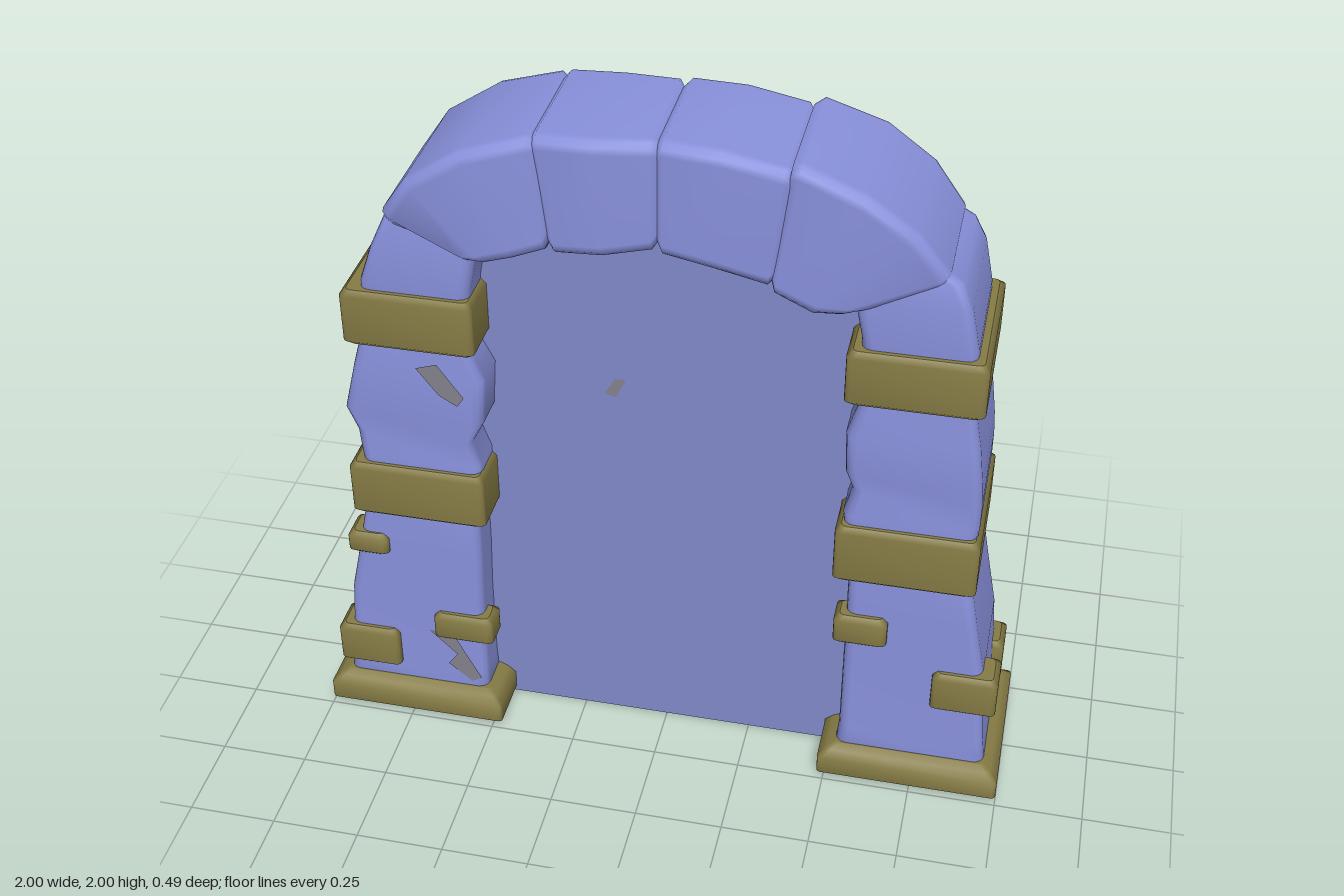
import * as THREE from 'three';

const stone = new THREE.MeshStandardMaterial({ name: 'blue stone', color: 0x8991dc });
const infill = new THREE.MeshStandardMaterial({ name: 'dusky blue infill', color: 0x8189c8 });
const trim = new THREE.MeshStandardMaterial({ name: 'olive trim', color: 0x857b45 });
const stain = new THREE.MeshStandardMaterial({ name: 'grey stain', color: 0x83808a, side: THREE.DoubleSide });

// Rounded block lofted through sections [ax, ay, bx, by, zBack, zFront].
function loft(sections, radius, bevel) {
  const lerp = (s, t, k) => s.map((v, i) => v + (t[i] - v) * k);
  const inset = (s) => {
    const w = bevel / Math.hypot(s[2] - s[0], s[3] - s[1]);
    const dx = (s[2] - s[0]) * w, dy = (s[3] - s[1]) * w;
    return [s[0] + dx, s[1] + dy, s[2] - dx, s[3] - dy, s[4] + bevel, s[5] - bevel];
  };
  const step = (s, t) => {
    const d = Math.hypot(s[0] + s[2] - t[0] - t[2], s[1] + s[3] - t[1] - t[3]) / 2;
    return lerp(s, t, Math.min(0.45, bevel / d));
  };
  const n = sections.length, first = sections[0], last = sections[n - 1];
  const all = [inset(first), step(first, sections[1]), ...sections.slice(1, -1),
    step(last, sections[n - 2]), inset(last)];

  const pos = [], idx = [], around = 16;
  const ring = (s) => {
    const [ax, ay, bx, by, z0, z1] = s, len = Math.hypot(bx - ax, by - ay);
    for (let c = 0; c < 4; c++) for (let k = 0; k < 4; k++) {
      const a = (c + k / 3) * Math.PI / 2;
      const right = c === 0 || c === 3, front = c < 2;
      const u = ((right ? len - radius : radius) + Math.cos(a) * radius) / len;
      const z = (front ? z1 - radius : z0 + radius) + Math.sin(a) * radius;
      pos.push(ax + (bx - ax) * u, ay + (by - ay) * u, z);
    }
  };
  all.forEach(ring);
  for (let r = 0; r < all.length - 1; r++) for (let i = 0; i < around; i++) {
    const a = r * around + i, b = r * around + (i + 1) % around;
    idx.push(a, a + around, b + around, a, b + around, b);
  }
  // End caps
  [all[0], all[all.length - 1]].forEach((s, end) => {
    const o = pos.length / 3;
    ring(s);
    pos.push((s[0] + s[2]) / 2, (s[1] + s[3]) / 2, (s[4] + s[5]) / 2);
    for (let i = 0; i < around; i++) {
      const j = (i + 1) % around;
      idx.push(o + around, o + (end ? j : i), o + (end ? i : j));
    }
  });
  const g = new THREE.BufferGeometry();
  g.setAttribute('position', new THREE.Float32BufferAttribute(pos, 3));
  g.setIndex(idx);
  g.computeVertexNormals();
  return g;
}

export function createModel() {
  const model = new THREE.Group();
  model.name = 'stoneArch';
  const add = (name, geometry, material) => {
    const m = new THREE.Mesh(geometry, material);
    m.name = name;
    model.add(m);
  };
  // Upright stone from rows [y, xLow, xHigh, zBack, zFront]
  const upright = (name, rows) => add(name,
    loft(rows.map(([y, a, b, z0, z1]) => [a, y, b, y, z0, z1]), 0.03, 0.02), stone);
  const block = (name, x0, x1, y0, y1, z0, z1, bevel = 0.015) => add(name,
    loft([[x0, y0, x1, y0, z0, z1], [x0, y1, x1, y1, z0, z1]], bevel, bevel), trim);

  // Pillars, three stones each
  upright('rightLowerStone', [[0.06, -0.96, -0.52, -0.2, 0.2], [0.16, -0.945, -0.525, -0.19, 0.19],
    [0.42, -0.925, -0.525, -0.19, 0.19], [0.6, -0.885, -0.52, -0.19, 0.19], [0.82, -0.84, -0.52, -0.19, 0.19]]);
  upright('rightMiddleStone', [[0.82, -0.83, -0.5, -0.19, 0.2], [0.93, -0.845, -0.5, -0.19, 0.2],
    [1.0, -0.855, -0.525, -0.185, 0.19], [1.08, -0.88, -0.485, -0.2, 0.2],
    [1.22, -0.845, -0.475, -0.2, 0.2], [1.3, -0.825, -0.515, -0.185, 0.19], [1.4, -0.81, -0.52, -0.18, 0.19]]);
  upright('rightUpperStone', [[1.36, -0.81, -0.51, -0.19, 0.19], [1.5, -0.8, -0.5, -0.2, 0.2],
    [1.6, -0.765, -0.48, -0.2, 0.2], [1.7, -0.72, -0.46, -0.18, 0.19], [1.76, -0.66, -0.44, -0.16, 0.17]]);
  upright('leftLowerStone', [[0.06, 0.52, 0.96, -0.2, 0.2], [0.16, 0.53, 0.945, -0.19, 0.19],
    [0.42, 0.53, 0.925, -0.19, 0.19], [0.6, 0.53, 0.89, -0.19, 0.19], [0.82, 0.53, 0.85, -0.19, 0.19]]);
  upright('leftMiddleStone', [[0.82, 0.52, 0.86, -0.19, 0.2], [0.94, 0.505, 0.87, -0.2, 0.2],
    [1.02, 0.525, 0.87, -0.185, 0.19], [1.08, 0.505, 0.865, -0.2, 0.2],
    [1.2, 0.5, 0.85, -0.19, 0.2], [1.3, 0.53, 0.83, -0.18, 0.19], [1.4, 0.53, 0.82, -0.18, 0.19]]);
  upright('leftUpperStone', [[1.36, 0.53, 0.83, -0.19, 0.19], [1.5, 0.525, 0.82, -0.2, 0.2],
    [1.62, 0.5, 0.795, -0.2, 0.2], [1.69, 0.5, 0.765, -0.18, 0.19], [1.76, 0.46, 0.66, -0.16, 0.17]]);

  // Arch stones, outer edge first, running from -x to +x
  const arch = [
    [[-0.74, 1.69, -0.49, 1.6, -0.19, 0.2], [-0.645, 1.83, -0.45, 1.605, -0.21, 0.22],
      [-0.5, 1.925, -0.37, 1.63, -0.21, 0.22], [-0.305, 1.985, -0.275, 1.665, -0.2, 0.21]],
    [[-0.325, 1.985, -0.28, 1.65, -0.195, 0.205], [-0.16, 1.99, -0.14, 1.66, -0.2, 0.21],
      [0.005, 1.995, 0.005, 1.69, -0.185, 0.195]],
    [[-0.005, 2.0, -0.005, 1.68, -0.19, 0.195], [0.16, 1.99, 0.14, 1.655, -0.2, 0.2],
      [0.34, 1.955, 0.3, 1.62, -0.2, 0.2]],
    [[0.335, 1.985, 0.285, 1.61, -0.2, 0.2], [0.52, 1.92, 0.4, 1.57, -0.21, 0.22],
      [0.65, 1.825, 0.47, 1.57, -0.21, 0.21], [0.755, 1.69, 0.52, 1.59, -0.19, 0.2]],
  ];
  arch.forEach((s, i) => add('archStone' + (i + 1), loft(s, 0.035, 0.02), stone));

  // Solid infill of the doorway
  const outline = new THREE.Shape([[-0.63, 0], [0.55, 0], [0.57, 1.6], [0.4, 1.68], [0, 1.78],
    [-0.4, 1.72], [-0.57, 1.6], [-0.63, 0.8]].map(([x, y]) => new THREE.Vector2(x, y)));
  const panel = new THREE.ExtrudeGeometry(outline, { depth: 0.18, bevelEnabled: false });
  add('doorwayInfill', panel.translate(0, 0, -0.1), infill);

  // Plinths and bands
  const plinth = (name, x0, x1) => add(name, loft([[0.01, 0], [0.075, 0], [0.105, 0.035]].map(
    ([y, d]) => [x0 + d, y, x1 - d, y, -0.245 + d, 0.245 - d]), 0.012, 0.01), trim);
  plinth('rightPlinth', -1, -0.47);
  plinth('leftPlinth', 0.48, 1);
  block('rightLowerBand', -0.875, -0.487, 0.735, 0.91, -0.222, 0.225);
  block('rightUpperBand', -0.85, -0.487, 1.31, 1.48, -0.222, 0.225);
  block('leftLowerBand', 0.49, 0.88, 0.73, 0.915, -0.222, 0.225);
  block('leftUpperBand', 0.493, 0.855, 1.315, 1.48, -0.222, 0.225);

  // Small bricks set into the pillars: x range, y range, z range
  [[-0.91, -0.79, 0.57, 0.645, 0.1, 0.21], [-0.97, -0.785, 0.145, 0.285, 0.09, 0.215],
    [-0.67, -0.492, 0.285, 0.38, 0.12, 0.215], [0.5, 0.65, 0.495, 0.595, 0.12, 0.215],
    [0.785, 0.97, 0.295, 0.43, 0.09, 0.215], [0.785, 0.97, 0.16, 0.3, -0.22, -0.1],
    [0.5, 0.67, 0.32, 0.41, -0.225, -0.12], [-0.66, -0.5, 0.5, 0.6, -0.215, -0.12],
    [-0.67, -0.5, 0.29, 0.385, -0.22, -0.12], [-0.94, -0.775, 0.3, 0.44, -0.22, -0.09],
  ].forEach((b, i) => block('brick' + (i + 1), ...b));

  // Flat stains
  const patch = (name, z, pts) => add(name, new THREE.ShapeGeometry(
    new THREE.Shape(pts.map(([x, y]) => new THREE.Vector2(x, y)))).translate(0, 0, z), stain);
  patch('infillStain', 0.083, [[-0.17, 1.16], [-0.14, 1.15], [-0.11, 1.21], [-0.14, 1.21]]);
  patch('middleStain', 0.204, [[-0.66, 1.25], [-0.6, 1.27], [-0.53, 1.17], [-0.55, 1.14], [-0.6, 1.17]]);
  patch('lowerStain', 0.194, [[-0.69, 0.3], [-0.62, 0.3], [-0.54, 0.14], [-0.57, 0.12], [-0.64, 0.18], [-0.61, 0.22]]);
  return model;
}
